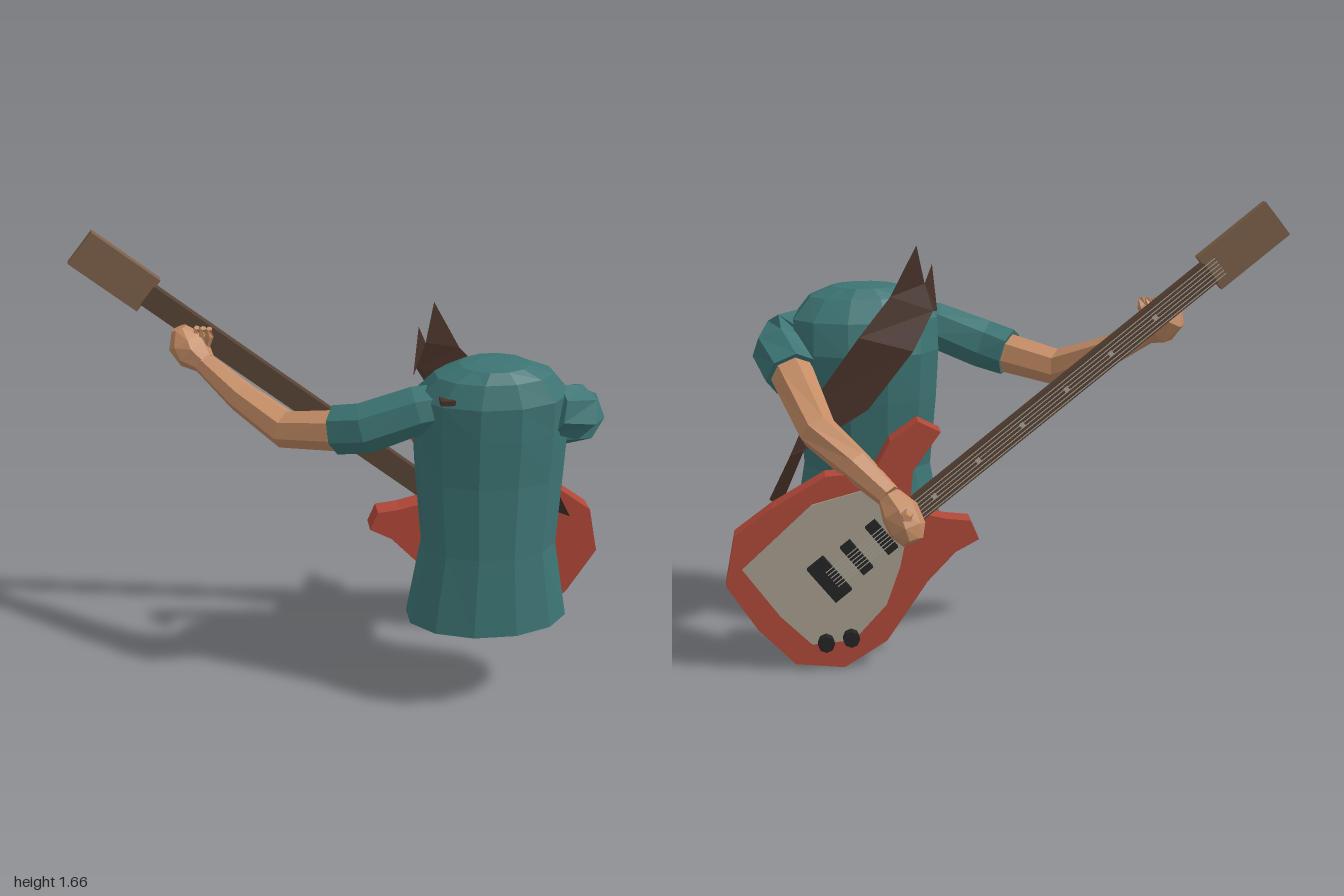
import * as THREE from 'three';

const mat = (name, color, extra = {}) => {
  const m = new THREE.MeshStandardMaterial({ color, flatShading: true, ...extra });
  m.name = name;
  return m;
};
const V = (x, y, z) => new THREE.Vector3(x, y, z);

// Closed skin over a list of equal-sized rings, counter-clockwise about the travel direction
function loft(rings) {
  const n = rings[0].length, pos = [], idx = [];
  rings.forEach(r => r.forEach(p => pos.push(p.x, p.y, p.z)));
  for (let i = 0; i < rings.length - 1; i++) {
    for (let j = 0; j < n; j++) {
      const a = i * n + j, b = i * n + (j + 1) % n;
      idx.push(a, b, a + n, b, b + n, a + n);
    }
  }
  const last = (rings.length - 1) * n;
  for (let j = 1; j < n - 1; j++) {
    idx.push(0, j + 1, j, last, last + j, last + j + 1);
  }
  const g = new THREE.BufferGeometry();
  g.setAttribute('position', new THREE.Float32BufferAttribute(pos, 3));
  g.setIndex(idx);
  g.computeVertexNormals();
  return g;
}

// Tapered limb through [x, y, z, radius] joints
function limb(joints, sides = 7) {
  const pts = joints.map(j => V(j[0], j[1], j[2]));
  return loft(pts.map((p, i) => {
    const t = pts[Math.min(i + 1, pts.length - 1)].clone().sub(pts[Math.max(i - 1, 0)]).normalize();
    const u = V(0, 1, 0).addScaledVector(t, -t.y).normalize();
    const w = t.clone().cross(u);
    return Array.from({ length: sides }, (_, k) => {
      const a = k / sides * Math.PI * 2, r = joints[i][3];
      return p.clone().addScaledVector(u, Math.cos(a) * r).addScaledVector(w, Math.sin(a) * r);
    });
  }));
}

function plate(points, depth) {
  const shape = new THREE.Shape(points.map(p => new THREE.Vector2(p[0], p[1])));
  return new THREE.ExtrudeGeometry(shape, { depth, bevelEnabled: false });
}

export function createModel() {
  const root = new THREE.Group();
  const shirt = mat('teal shirt', 0x3d7474);
  const skin = mat('skin', 0xc58d66);
  const red = mat('red body', 0xb04838);
  const brown = mat('headstock brown', 0x7d604a);
  const neckWood = mat('neck brown', 0x574336);
  const leather = mat('strap leather', 0x483229, { side: THREE.DoubleSide });
  const cream = mat('pickguard', 0xa89f90);
  const black = mat('black hardware', 0x242424);
  const steel = mat('steel strings', 0xaaa59a);

  const add = (parent, name, geo, m, x = 0, y = 0, z = 0) => {
    const mesh = new THREE.Mesh(geo, m);
    mesh.name = name;
    mesh.position.set(x, y, z);
    parent.add(mesh);
    return mesh;
  };

  // Torso: y, half width, z centre, half depth
  const torso = [
    [0.335, 0.29, 0.285, 0.195], [0.63, 0.24, 0.285, 0.17], [0.9, 0.262, 0.257, 0.187],
    [1.08, 0.272, 0.25, 0.2], [1.2, 0.27, 0.265, 0.185], [1.28, 0.205, 0.285, 0.135],
    [1.315, 0.12, 0.29, 0.1], [1.322, 0.06, 0.29, 0.05],
  ].map(([y, rx, cz, rz]) => Array.from({ length: 12 }, (_, k) => {
    const a = (k + 0.5) / 12 * Math.PI * 2;
    return V(0.465 + Math.sin(a) * rx * 1.03, y, cz + Math.cos(a) * rz * 1.03);
  }));
  add(root, 'torso', loft(torso), shirt);

  // Fretting arm
  const fretArm = new THREE.Group();
  fretArm.name = 'frettingArm';
  root.add(fretArm);
  add(fretArm, 'sleeve', limb([[0.3, 1.17, 0.29, 0.08], [0.2, 1.155, 0.29, 0.088],
    [0.02, 1.085, 0.265, 0.093], [-0.075, 1.06, 0.21, 0.09]]), shirt);
  add(fretArm, 'forearm', limb([[0, 1.07, 0.24, 0.07], [-0.08, 1.055, 0.205, 0.075],
    [-0.25, 1.02, 0.09, 0.07], [-0.4, 1.1, -0.05, 0.058], [-0.53, 1.195, -0.17, 0.042]]), skin);
  add(fretArm, 'hand', limb([[-0.52, 1.19, -0.165, 0.042], [-0.56, 1.22, -0.2, 0.07],
    [-0.59, 1.26, -0.22, 0.068], [-0.61, 1.31, -0.225, 0.03]]), skin);
  for (let i = 0; i < 3; i++) {
    add(fretArm, 'finger', limb([[-0.585 + i * 0.03, 1.23, -0.2, 0.02],
      [-0.55 + i * 0.024, 1.29, -0.205 + i * 0.01, 0.017], [-0.545 + i * 0.022, 1.32, -0.19 + i * 0.008, 0.012]], 5), skin);
  }

  // Strumming arm
  const strumArm = new THREE.Group();
  strumArm.name = 'strummingArm';
  root.add(strumArm);
  add(strumArm, 'sleeve', limb([[0.68, 1.14, 0.31, 0.09], [0.76, 1.12, 0.29, 0.1],
    [0.785, 1.085, 0.22, 0.105], [0.745, 1.015, 0.11, 0.1]]), shirt);
  add(strumArm, 'forearm', limb([[0.76, 1.04, 0.15, 0.08], [0.735, 1.0, 0.08, 0.08],
    [0.66, 0.85, -0.12, 0.07], [0.53, 0.75, -0.24, 0.06], [0.42, 0.66, -0.33, 0.045]]), skin);
  add(strumArm, 'hand', limb([[0.42, 0.66, -0.33, 0.045], [0.385, 0.61, -0.36, 0.07],
    [0.36, 0.55, -0.38, 0.068], [0.345, 0.51, -0.4, 0.04]]), skin);
  add(strumArm, 'thumb', limb([[0.37, 0.6, -0.37, 0.028], [0.365, 0.615, -0.43, 0.024],
    [0.37, 0.62, -0.475, 0.014]], 5), skin);

  // Strap: thin band between two edges, rising to two points at the shoulder
  const edgeA = [[0.28, 1.485, 0.11], [0.38, 1.3, 0.08], [0.5, 1.16, 0.03], [0.67, 0.93, 0.02], [0.76, 0.73, 0.01], [0.84, 0.57, 0]];
  const edgeB = [[0.25, 1.34, 0.125], [0.22, 1.24, 0.11], [0.3, 1.1, 0.055], [0.47, 0.89, 0.035], [0.71, 0.76, -0.04], [0.8, 0.56, -0.07]];
  const sp = [], si = [];
  edgeA.forEach((a, i) => sp.push(...a, ...edgeB[i]));
  for (let i = 0; i < edgeA.length - 1; i++) {
    const k = i * 2;
    si.push(k, k + 1, k + 2, k + 1, k + 3, k + 2);
  }
  sp.push(0.22, 1.41, 0.15, 0.2, 1.23, 0.17);
  si.push(12, 13, 1, 13, 3, 1);
  const strap = new THREE.BufferGeometry();
  strap.setAttribute('position', new THREE.Float32BufferAttribute(sp, 3));
  strap.setIndex(si);
  strap.computeVertexNormals();
  add(root, 'strap', strap, leather);
  add(root, 'strapEdge', new THREE.BoxGeometry(0.05, 0.018, 0.05), leather, 0.285, 1.22, 0.39);

  // Guitar body with two horns
  add(root, 'guitarBody', plate([[0.095, 0.47], [0.18, 0.425], [0.28, 0.32], [0.43, 0.1],
    [0.585, 0.005], [0.76, 0.025], [0.89, 0.16], [1, 0.33], [0.965, 0.51], [0.83, 0.61],
    [0.64, 0.72], [0.47, 0.73], [0.41, 0.84], [0.31, 0.91], [0.23, 0.87], [0.33, 0.73],
    [0.34, 0.63], [0.29, 0.57], [0.21, 0.55], [0.125, 0.54]], 0.09), red, 0, 0, -0.265);
  add(root, 'pickguard', plate([[0.94, 0.39], [0.81, 0.21], [0.7, 0.1], [0.55, 0.11], [0.43, 0.24],
    [0.38, 0.38], [0.34, 0.57], [0.42, 0.69], [0.69, 0.62]], 0.008), cream, 0, 0, -0.273);
  for (const [x, y] of [[0.65, 0.11], [0.56, 0.125]]) {
    const knob = add(root, 'knob', new THREE.CylinderGeometry(0.03, 0.03, 0.04, 8), black, x, y, -0.291);
    knob.rotation.x = Math.PI / 2;
  }

  // Neck assembly: local x runs from the headstock to the bridge
  const neck = new THREE.Group();
  neck.name = 'neckAssembly';
  neck.position.set(-0.955, 1.6125, 0);
  neck.rotation.z = -38.5 * Math.PI / 180;
  root.add(neck);
  const box = (name, m, x, y, z, w, h, d) => add(neck, name, new THREE.BoxGeometry(w, h, d), m, x, y, z);
  box('headstock', brown, 0.153, 0, -0.285, 0.306, 0.146, 0.04);
  box('neck', neckWood, 1.0, 0, -0.283, 1.4, 0.086, 0.046);
  box('pickup', black, 1.79, 0, -0.285, 0.045, 0.13, 0.028);
  box('pickup', black, 1.905, 0, -0.285, 0.045, 0.13, 0.028);
  box('bridge', black, 2.03, 0, -0.285, 0.075, 0.16, 0.028);
  for (let i = 0; i < 6; i++) {
    box('string', steel, 1.14, (i - 2.5) * 0.0135, -0.315, 1.76, 0.003, 0.003);
  }
  for (let i = 0; i < 6; i++) {
    box('inlay', steel, 0.55 + i * 0.2, 0, -0.307, 0.018, 0.018, 0.004);
  }
  return root;
}
